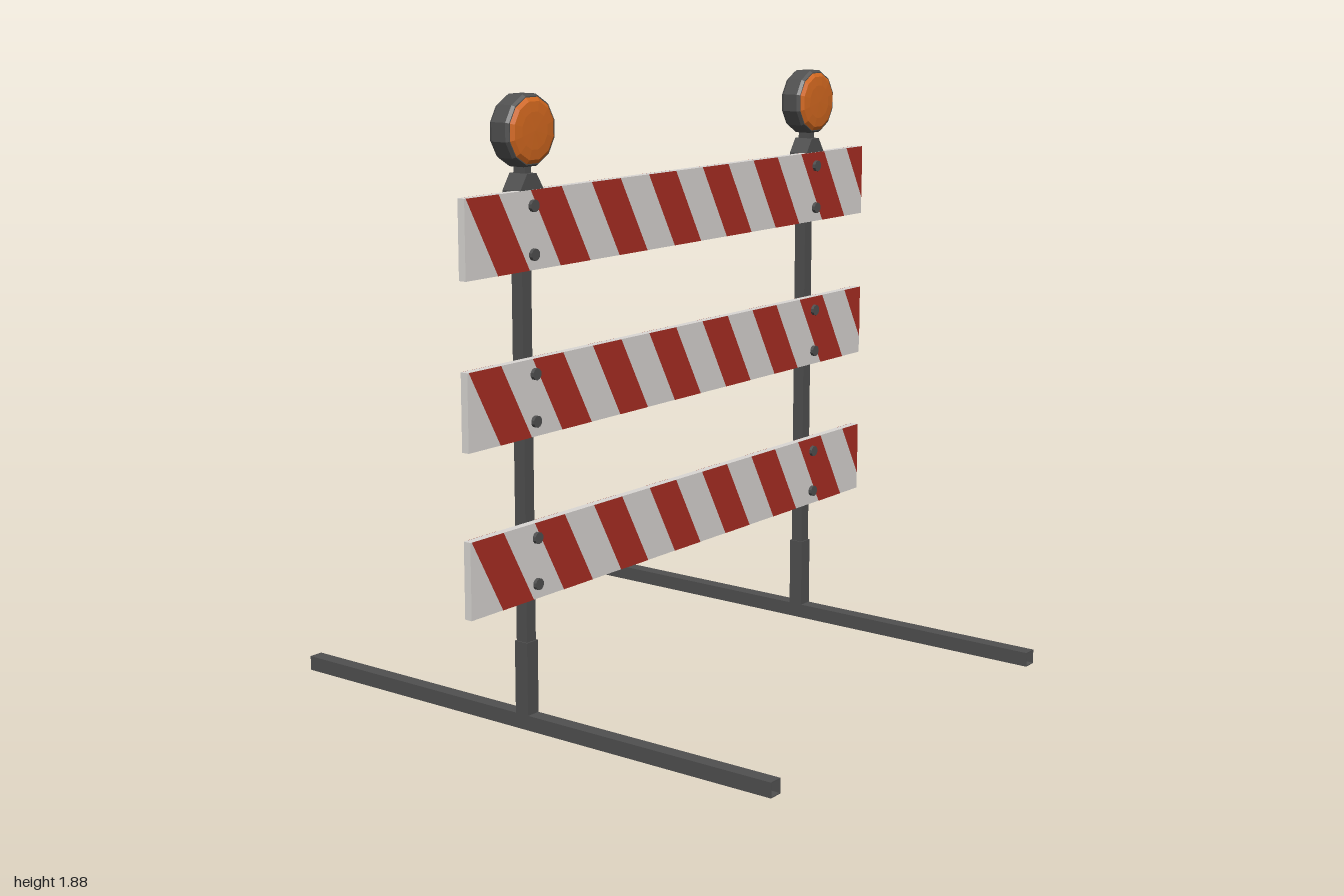
import * as THREE from 'three';

const steel = new THREE.MeshStandardMaterial({ color: 0x505050, flatShading: true });
steel.name = 'dark steel';
const white = new THREE.MeshStandardMaterial({ color: 0xdad7d4 });
white.name = 'board white';
const red = new THREE.MeshStandardMaterial({ color: 0xaa2e23, side: THREE.DoubleSide });
red.name = 'stripe red';
const orange = new THREE.MeshStandardMaterial({ color: 0xd66a20, flatShading: true });
orange.name = 'lamp orange';

function add(parent, name, geometry, material, x = 0, y = 0, z = 0) {
  const mesh = new THREE.Mesh(geometry, material);
  mesh.name = name;
  mesh.position.set(x, y, z);
  parent.add(mesh);
  return mesh;
}

const polygon = (points) => new THREE.Shape(points.map(([x, y]) => new THREE.Vector2(x, y)));

// Prism along z between two depths
function prism(shape, z0, z1) {
  return new THREE.ExtrudeGeometry(shape, { depth: z1 - z0, bevelEnabled: false }).translate(0, 0, z0);
}

function square(half) {
  return [[-half, -half], [half, -half], [half, half], [-half, half]];
}

// Solid of revolution with its axis along z and a flat side on top
function disc(points) {
  const profile = points.map(([r, z]) => new THREE.Vector2(r, z));
  return new THREE.LatheGeometry(profile, 12).rotateY(Math.PI / 12).rotateX(Math.PI / 2);
}

function makeStand(x) {
  const stand = new THREE.Group();
  stand.name = x > 0 ? 'leftStand' : 'rightStand';
  stand.position.x = x;

  // Hollow square foot, open at both ends
  const tube = polygon(square(0.023));
  tube.holes.push(polygon(square(0.0205).reverse()));
  add(stand, 'foot', prism(tube, -0.905, 0.905), steel, 0, 0.023, 0);

  add(stand, 'sleeve', new THREE.BoxGeometry(0.048, 0.225, 0.048), steel, 0, 0.158, 0);
  add(stand, 'post', new THREE.BoxGeometry(0.04, 1.555, 0.04), steel, 0, 0.823, 0);

  // Lamp bracket behind the top board, with a cap reaching over it
  const back = polygon([[-0.035, 1.53], [0.035, 1.53], [0.05, 1.6], [0.05, 1.612],
    [0.02, 1.658], [-0.02, 1.658], [-0.05, 1.612], [-0.05, 1.6]]);
  add(stand, 'bracket', prism(back, -0.023, 0.02), steel);
  const cap = polygon([[-0.05, 1.612], [0.05, 1.612], [0.02, 1.658], [-0.02, 1.658]]);
  add(stand, 'bracketCap', prism(cap, 0.02, 0.044), steel);
  add(stand, 'lampNeck', new THREE.BoxGeometry(0.026, 0.045, 0.044), steel, 0, 1.672, 0.008);

  // Warning lamp: dark rim with a shallow domed lens on each side
  const lamp = new THREE.Group();
  lamp.name = 'lamp';
  lamp.position.set(0, 1.78, 0.011);
  stand.add(lamp);
  add(lamp, 'rim', disc([[0, -0.036], [0.1, -0.036], [0.106, -0.026], [0.106, 0.026],
    [0.1, 0.036], [0, 0.036]]), steel);
  const lens = disc([[0.1, 0.034], [0.085, 0.044], [0.055, 0.047], [0, 0.048]]);
  add(lamp, 'frontLens', lens, orange);
  add(lamp, 'backLens', lens, orange).rotation.y = Math.PI;
  return stand;
}

// One diagonal stripe, clipped at the board's right end
function stripeShape(x, h) {
  const slant = 0.128, width = 0.135, end = 1;
  const top = h / 2, bottom = -h / 2;
  if (x + width + slant <= end) {
    return polygon([[x + slant, bottom], [x + slant + width, bottom], [x + width, top], [x, top]]);
  }
  const cut = top - h * Math.min(1, (end - x) / slant);
  return polygon([[end, cut], [end, top], [x, top]]);
}

function makeBoard(y) {
  const board = new THREE.Group();
  board.name = 'board';
  board.position.set(0, y, 0.033);
  const h = 0.23, d = 0.025;
  add(board, 'plank', new THREE.BoxGeometry(2, h, d), white);
  for (let i = 0; i < 8; i++) {
    const stripe = new THREE.ShapeGeometry(stripeShape(-0.995 + i * 0.271, h));
    for (const side of [1, -1]) add(board, 'stripe', stripe, red, 0, 0, side * (d / 2 + 0.001));
  }
  // Two bolts into each post
  const bolt = new THREE.CylinderGeometry(0.018, 0.018, 0.012, 10).rotateX(Math.PI / 2);
  for (const x of [-0.716, 0.716]) {
    for (const dy of [-0.07, 0.07]) add(board, 'bolt', bolt, steel, x, dy, d / 2 + 0.005);
  }
  return board;
}

export function createModel() {
  const model = new THREE.Group();
  model.name = 'roadBarricade';
  for (const x of [-0.716, 0.716]) model.add(makeStand(x));
  for (const y of [0.522, 1.01, 1.497]) model.add(makeBoard(y));
  return model;
}
